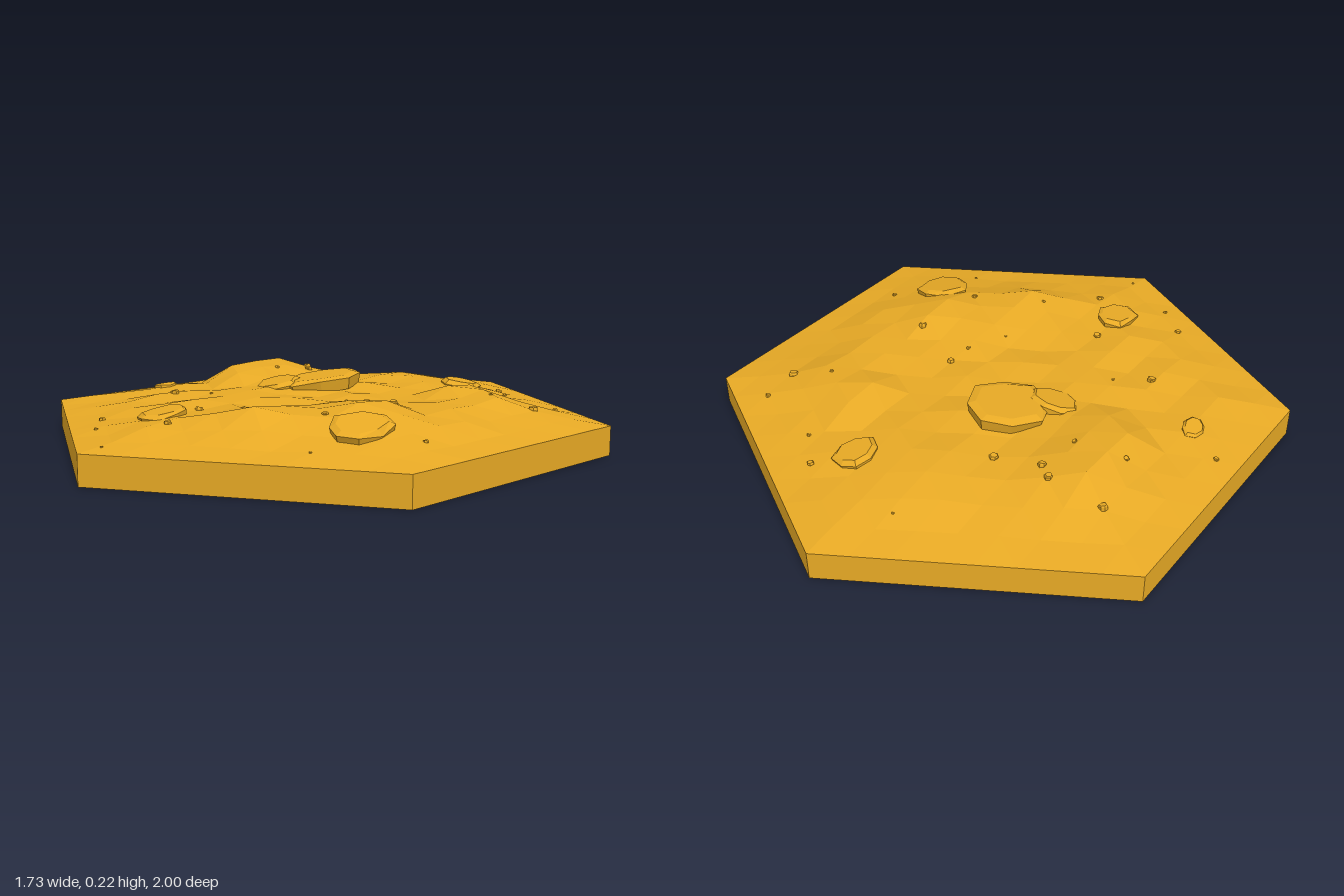
import * as THREE from 'three';

const S = Math.sqrt(3) / 2;
const RINGS = 8;
const sand = new THREE.MeshStandardMaterial({ color: 0xe8aa25, flatShading: true });

// Low dunes and hollows: x, z, height, spread
const dunes = [
  [-0.52, -0.28, 0.066, 0.15], [-0.48, -0.08, 0.045, 0.12], [0.43, 0.2, 0.05, 0.18],
  [0.2, 0.5, 0.045, 0.15], [0.41, -0.36, 0.045, 0.13], [-0.08, -0.12, 0.012, 0.2],
  [-0.5, 0.27, -0.018, 0.2], [-0.08, 0.2, -0.008, 0.15], [-0.15, -0.55, 0.018, 0.16],
  [-0.1, 0.6, -0.01, 0.12],
];

// 0 at the centre, 1 on the hexagon's rim
const hexRadius = (x, z) =>
  Math.max(Math.abs(x), Math.abs(x / 2 + z * S), Math.abs(x / 2 - z * S)) / S;

// Repeatable irregularity from -0.5 to 0.5
const vary = (a, b) => {
  const s = Math.sin(a * 127.1 + b * 311.7) * 43758.5453;
  return s - Math.floor(s) - 0.5;
};

// Terrain height at a lattice point
function terrainHeight(q, r) {
  const x = (q * S) / RINGS, z = (r + q / 2) / RINGS;
  const inset = 1 - hexRadius(x, z);
  const ramp = THREE.MathUtils.smoothstep(inset, -0.06, 0.44) * Math.min(1, Math.max(0, inset * 8));
  let h = 0.06 + 0.026 * vary(q, r);
  for (const [dx, dz, a, s] of dunes) {
    h += a * Math.exp(-((x - dx) ** 2 + (z - dz) ** 2) / (s * s));
  }
  return 0.1 + Math.min(h, 0.118) * ramp;
}

// Height on the facets between lattice points
function groundAt(x, z) {
  const u = (x * RINGS) / S, v = z * RINGS - u / 2;
  const q = Math.floor(u), r = Math.floor(v), a = u - q, b = v - r;
  const right = terrainHeight(q + 1, r), down = terrainHeight(q, r + 1);
  return a + b < 1
    ? terrainHeight(q, r) * (1 - a - b) + right * a + down * b
    : terrainHeight(q + 1, r + 1) * (a + b - 1) + right * (1 - b) + down * (1 - a);
}

// Triangular lattice filling the hexagon with n rings
function hexSurface(n, height, faceDown = false) {
  const pos = [];
  const inside = (q, r) => Math.max(Math.abs(q), Math.abs(r), Math.abs(q + r)) <= n;
  const tri = (...corners) => {
    if (!corners.every(([q, r]) => inside(q, r))) return;
    if (faceDown) corners.reverse();
    for (const [q, r] of corners) {
      pos.push((q * S) / n, height(q, r), (r + q / 2) / n);
    }
  };
  for (let q = -n; q <= n; q++) {
    for (let r = -n; r <= n; r++) {
      tri([q, r], [q, r + 1], [q + 1, r]);
      tri([q + 1, r], [q, r + 1], [q + 1, r + 1]);
    }
  }
  const g = new THREE.BufferGeometry();
  g.setAttribute('position', new THREE.Float32BufferAttribute(pos, 3));
  g.computeVertexNormals();
  return g;
}

// Hollow underside: flat rim, raised middle, two deeper opposite corners
function undersideHeight(q, r) {
  if (Math.max(Math.abs(q), Math.abs(r), Math.abs(q + r)) === 2) return 0;
  return q * r === -1 ? 0.075 : 0.045 + 0.015 * vary(q, r);
}

// Flat, chipped stone: broad belt with a smaller bevelled top
function stoneGeometry(rx, rz, h, seed, sides = 8) {
  const g = new THREE.CylinderGeometry(0.78, 0.9, 1, sides, 2);
  const p = g.attributes.position;
  for (let i = 0; i < p.count; i++) {
    const x = p.getX(i), y = p.getY(i), z = p.getZ(i);
    const a = Math.round(Math.atan2(x, z) / (Math.PI * 2) * sides + sides) % sides;
    const belt = Math.abs(y) < 0.1;
    const k = (belt ? 1.17 : 1) * (1 + 0.28 * vary(a, seed));
    const lift = belt ? 0.2 + 0.3 * vary(a + 5, seed) : y;
    p.setXYZ(i, x * k * rx, lift * h, z * k * rz);
  }
  g.computeVertexNormals();
  return g;
}

export function createModel() {
  const model = new THREE.Group();
  const add = (name, geometry, parent = model) => {
    const mesh = new THREE.Mesh(geometry, sand);
    mesh.name = name;
    parent.add(mesh);
    return mesh;
  };

  // Hexagonal tile
  add('tileSides', new THREE.CylinderGeometry(1, 1, 0.1, 6, 1, true)).position.y = 0.05;
  add('terrain', hexSurface(RINGS, terrainHeight));
  add('underside', hexSurface(2, undersideHeight, true));

  // Large stones: x, z, centre above ground, radius x, radius z, height, tilt x, tilt z
  const stones = new THREE.Group();
  stones.name = 'stones';
  model.add(stones);
  [
    [-0.12, -0.14, 0.005, 0.13, 0.145, 0.05, 0.1, 0.08],
    [-0.15, -0.17, 0.02, 0.07, 0.085, 0.025, 0.08, 0.08],
    [-0.23, -0.02, -0.006, 0.095, 0.085, 0.045, 0.25, 0.1],
    [0.55, 0.37, 0, 0.1, 0.12, 0.045, 0.15, -0.14],
    [0.15, -0.6, -0.002, 0.075, 0.085, 0.04, -0.12, -0.14],
    [-0.1, 0.6, 0, 0.075, 0.085, 0.04, 0.12, 0.04],
    [-0.66, 0.17, -0.004, 0.038, 0.052, 0.03, 0, 0.25],
  ].forEach(([x, z, lift, rx, rz, h, tx, tz], i) => {
    const m = add('stone', stoneGeometry(rx, rz, h, i + 1), stones);
    m.position.set(x, groundAt(x, z) + lift, z);
    m.rotation.set(tx, 0, tz);
  });

  // Scattered pebbles: x, z, radius
  const pebbles = new THREE.Group();
  pebbles.name = 'pebbles';
  model.add(pebbles);
  [
    [-0.64, -0.37, 0.015], [-0.44, -0.37, 0.014], [-0.39, -0.33, 0.015], [-0.23, -0.37, 0.016],
    [-0.42, -0.19, 0.009], [-0.59, -0.15, 0.01], [-0.79, 0.09, 0.01], [0.26, -0.7, 0.012],
    [0.64, -0.51, 0.01], [0.64, -0.38, 0.016], [0.5, -0.33, 0.007], [0.22, -0.01, 0.014],
    [0.21, 0.08, 0.008], [0.42, 0.08, 0.015], [-0.31, 0.23, 0.006], [0.15, 0.23, 0.005],
    [-0.42, 0.31, 0.015], [-0.11, 0.45, 0.015], [0.39, 0.36, 0.01], [0.71, 0.26, 0.009],
    [0.15, 0.48, 0.007], [-0.32, 0.69, 0.011], [0.02, 0.68, 0.013], [-0.21, 0.79, 0.007],
    [0.54, 0.57, 0.005], [0.36, -0.6, 0.008], [-0.12, -0.74, 0.005], [0.01, 0.92, 0.005],
  ].forEach(([x, z, r], i) => {
    const m = add('pebble', stoneGeometry(r, r, r * 1.2, i + 20, 6), pebbles);
    m.position.set(x, groundAt(x, z) + r * 0.1, z);
    m.rotation.set(vary(i, 3) * 0.6, i, vary(i, 7) * 0.6);
  });

  return model;
}
